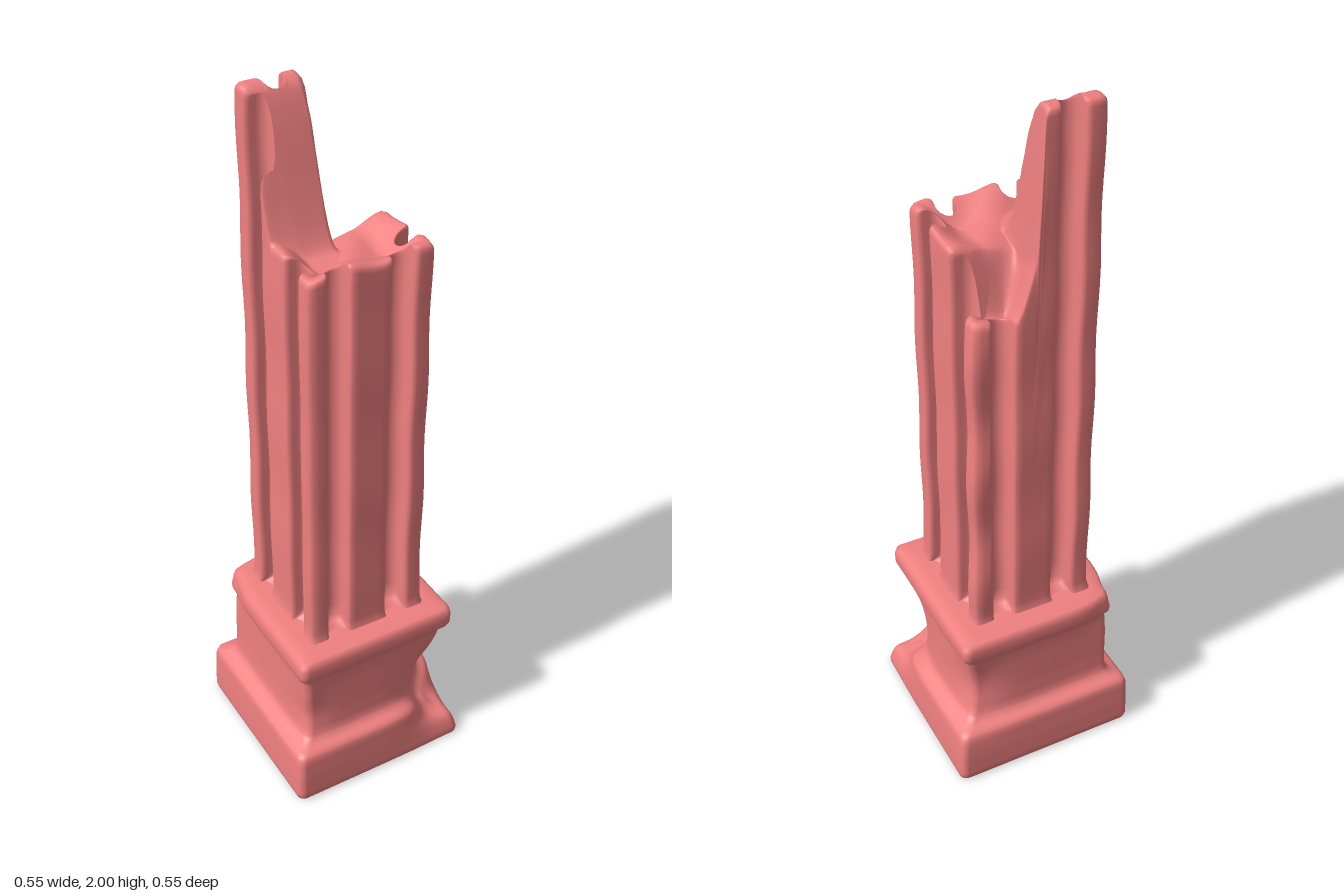
import * as THREE from 'three';

const { smoothstep, lerp, clamp } = THREE.MathUtils;
const material = new THREE.MeshStandardMaterial({ color: 0xf08080, side: THREE.DoubleSide });

// Skins a stack of closed rings (arrays of [x, y, z]) of equal length
function loft(rings, name) {
  const n = rings[0].length;
  const index = [];
  for (let i = 0; i < rings.length - 1; i++) {
    for (let j = 0; j < n; j++) {
      const a = i * n + j, b = i * n + (j + 1) % n;
      index.push(a, b, b + n, a, b + n, a + n);
    }
  }
  const geometry = new THREE.BufferGeometry();
  geometry.setAttribute('position', new THREE.Float32BufferAttribute(rings.flat(2), 3));
  geometry.setIndex(index);
  geometry.computeVertexNormals();
  const mesh = new THREE.Mesh(geometry, material);
  mesh.name = name;
  return mesh;
}

// Repeats one side's [x, z] points around the four sides
function fourSides(side) {
  const points = [];
  let turn = side;
  for (let k = 0; k < 4; k++) {
    points.push(...turn);
    turn = turn.map(([x, z]) => [z, -x]);
  }
  return points;
}

// Worn hollows in the pedestal: centre, radius, push towards the axis
const dents = [
  { at: [0.25, 0.19, 0.25], radius: 0.11, push: 0.075 },
  { at: [0.22, 0.28, 0.17], radius: 0.09, push: 0.02 },
  { at: [0.23, 0.28, -0.23], radius: 0.10, push: 0.03 },
  { at: [-0.25, 0.48, -0.22], radius: 0.08, push: 0.025 },
  { at: [-0.23, 0.25, 0.23], radius: 0.07, push: 0.015 },
];

function wear([x, y, z]) {
  let scale = 1;
  for (const { at, radius, push } of dents) {
    const d2 = (x - at[0]) ** 2 + (y - at[1]) ** 2 + (z - at[2]) ** 2;
    scale -= push * Math.exp(-d2 / (radius * radius)) / 0.27;
  }
  // the chipped front corner also sags
  const sag = 0.06 * Math.exp(-((x - 0.27) ** 2 + (z - 0.27) ** 2) / 0.012)
    * smoothstep(y, 0.05, 0.16) * (1 - smoothstep(y, 0.16, 0.3));
  return [x * scale, y - sag, z * scale];
}

function makePedestal() {
  // half width against height: plinth, waist and cap moulding
  const profile = [
    [0, 0], [0.1, 0], [0.2, 0], [0.264, 0], [0.272, 0.004], [0.275, 0.015], [0.274, 0.08],
    [0.271, 0.145], [0.266, 0.16], [0.256, 0.167], [0.242, 0.17], [0.23, 0.18],
    [0.224, 0.2], [0.222, 0.25], [0.222, 0.36], [0.224, 0.4], [0.23, 0.415],
    [0.24, 0.425], [0.244, 0.437], [0.244, 0.465], [0.241, 0.48], [0.232, 0.488],
    [0.2, 0.492], [0.1, 0.494], [0, 0.494],
  ];
  const rings = [];
  const addRing = (half, y) => {
    const r = Math.min(0.022, half * 0.3), flat = half - r, side = [];
    for (let i = 0; i <= 4; i++) {
      const a = (Math.PI / 4) * (1 - i / 4);
      side.push([flat + r * Math.cos(a), flat + r * Math.sin(a)]);
    }
    for (let i = 1; i < 24; i++) side.push([half, flat * (1 - i / 12)]);
    for (let i = 0; i < 4; i++) {
      const a = (Math.PI / 4) * (i / 4);
      side.push([flat + r * Math.cos(a), -flat - r * Math.sin(a)]);
    }
    rings.push(fourSides(side).map(([x, z]) => wear([x, y, z])));
  };
  profile.forEach(([half, y], i) => {
    const next = profile[i + 1];
    const steps = next ? Math.max(1, Math.ceil((next[1] - y) / 0.015)) : 1;
    for (let s = 0; s < steps; s++) {
      const t = s / steps;
      addRing(next ? lerp(half, next[0], t) : half, next ? lerp(y, next[1], t) : y);
    }
  });
  return loft(rings, 'pedestal');
}

const R = 0.177; // half width of the shaft
const CORE = 0.118; // half width inside the flutes

// Fluted square section; depth scales how far the flutes cut in
function shaftOutline(depth) {
  const half = [[0.167, 0.001], [0.15, 0], [0.135, 0], [0.128, 0.001], [0.122, 0.006], [0.12, 0.015], [0.12, 0.03]];
  for (let i = 1; i < 8; i++) {
    const a = (Math.PI * i) / 8;
    half.push([0.09 + 0.03 * Math.cos(a), 0.03 + 0.028 * Math.sin(a)]);
  }
  half.push([0.06, 0.03], [0.06, 0.015], [0.058, 0.006], [0.052, 0.001]);
  for (let i = 5; i > 0; i--) half.push([i * 0.008, 0]);
  const mirrored = half.map(([s, d]) => [-s, d]).reverse();
  return fourSides([...half, [0, 0], ...mirrored].map(([s, d]) => [R - d * depth, s]));
}

// Height of the broken top: a tall splinter at back left, a low step at back right
function brokenHeight(x, z) {
  const edge = Math.max(Math.abs(x), Math.abs(z));
  let h = 1.595 + 0.045 * smoothstep(edge, 0.07, 0.17) + 0.008 * Math.sin(x * 31 + z * 23);
  h -= 0.17 * smoothstep(-z, 0.045, 0.115) * smoothstep(x, -0.02, 0.06);
  const slope = smoothstep(-z, -0.04, 0.14);
  const lean = 0.02 * smoothstep(-x, 0.1, 0.17) * (1 - slope);
  const splinter = 1.6 + 0.4 * Math.pow(slope, 1.15) - lean;
  const cliff = 1 - smoothstep(x, -0.018, 0.002);
  return lerp(h, Math.max(h, splinter), cliff);
}

// Slight weathering of the shaft walls, strongest at back right
function weather(x, y, z) {
  const amount = 0.0015 + 0.004 * smoothstep(x, 0.05, 0.15) * smoothstep(-z, 0.05, 0.15);
  const k = 1 - (amount * (1 + Math.sin(y * 17 + x * 9 + z * 5))) / R;
  return [x * k, y, z * k];
}

function makeShaft() {
  const outline = shaftOutline(1);
  const rings = [];
  const foot = 0.475;
  // foot, where the flutes run out into a small flare
  for (const [y, depth, flare] of [[foot, 0.2, 1.06], [0.493, 0.45, 1.03], [0.503, 0.8, 1.012], [0.52, 1, 1]]) {
    rings.push(shaftOutline(depth).map(([x, z]) => weather(x * flare, y, z * flare)));
  }
  // walls rising to the broken edge
  const rows = 30;
  for (let i = 1; i <= rows; i++) {
    rings.push(outline.map(([x, z]) =>
      weather(x, lerp(0.52, brokenHeight(x, z) - 0.02, i / rows), z)));
  }
  // rounded rim, moving from the fluted outline to the square core
  for (const [t, drop] of [[0.03, 0.01], [0.1, 0.004], [0.25, 0], [0.5, 0], [0.75, 0], [1, 0]]) {
    rings.push(outline.map(([x, z]) => {
      const px = lerp(x, clamp(x, -CORE, CORE), t);
      const pz = lerp(z, clamp(z, -CORE, CORE), t);
      return weather(px, brokenHeight(px, pz) - drop, pz);
    }));
  }
  // fractured surface across the core
  for (let i = 1; i <= 20; i++) {
    const k = 1 - i / 20;
    rings.push(outline.map(([x, z]) => {
      const px = clamp(x, -CORE, CORE) * k, pz = clamp(z, -CORE, CORE) * k;
      return weather(px, brokenHeight(px, pz), pz);
    }));
  }
  return loft(rings, 'brokenFlutedShaft');
}

export function createModel() {
  const group = new THREE.Group();
  group.name = 'ruinedColumn';
  group.add(makePedestal(), makeShaft());
  return group;
}
